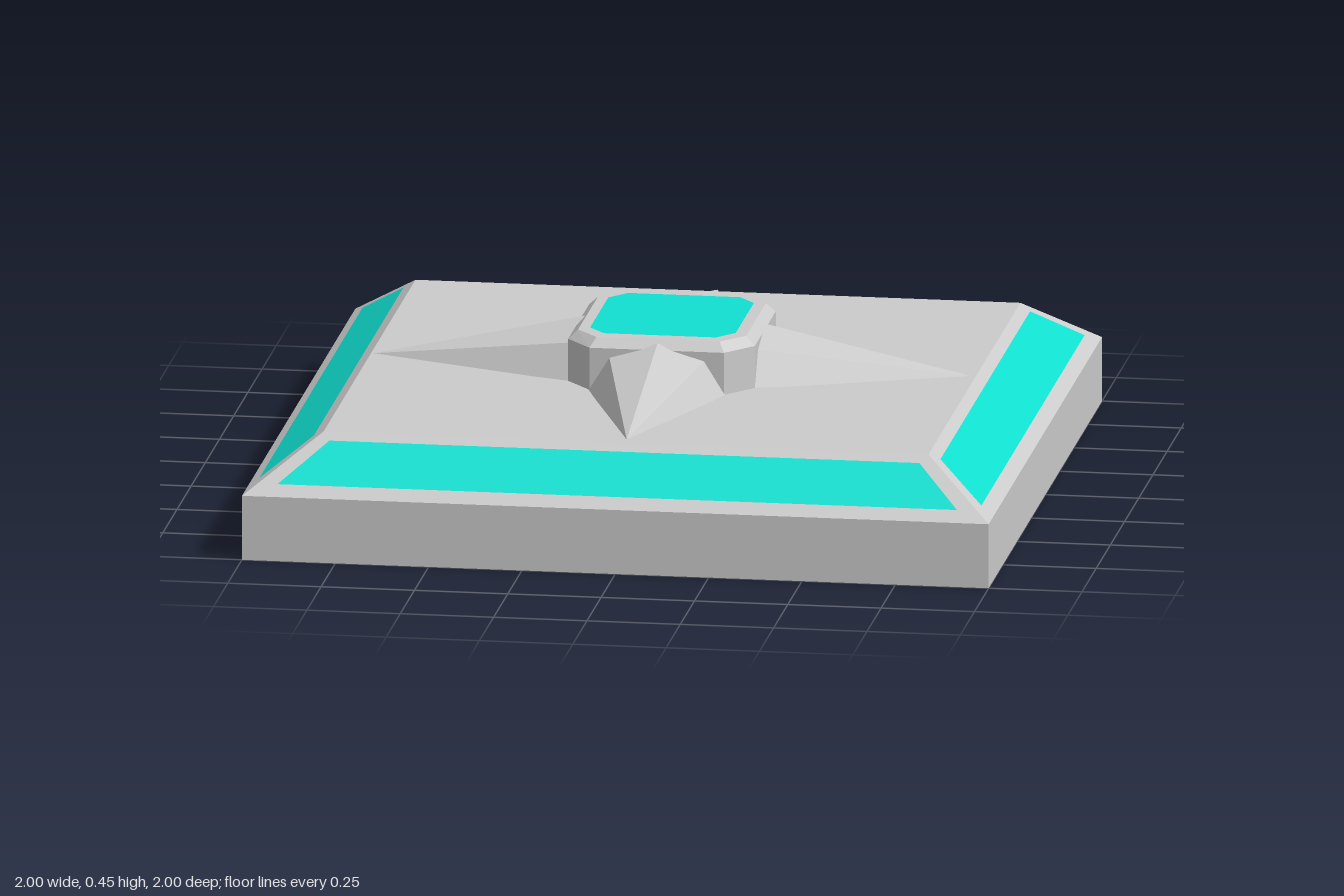
import * as THREE from 'three';
import { ConvexGeometry } from 'three/addons/geometries/ConvexGeometry.js';

const grey = new THREE.MeshStandardMaterial({ color: 0xcccccc, flatShading: true });
const teal = new THREE.MeshStandardMaterial({ color: 0x10e0d0, flatShading: true });

// Rectangle with cut corners, counter-clockwise seen from above
const octagon = (w, d, cx, cz) => [
  [w, d - cz], [w, cz - d], [w - cx, -d], [cx - w, -d],
  [-w, cz - d], [-w, d - cz], [cx - w, d], [w - cx, d],
];
const square = (h) => [[h, h], [h, -h], [-h, -h], [-h, h]];

// Faceted solid from horizontal outlines stacked as [y, outline]
function stack(...levels) {
  return new ConvexGeometry(levels.flatMap(([y, ring]) => ring.map(([x, z]) => new THREE.Vector3(x, y, z))));
}

// Flat polygon whose corners run counter-clockwise seen from outside
function polygon(points) {
  const geo = new THREE.BufferGeometry();
  geo.setAttribute('position', new THREE.Float32BufferAttribute(points.flat(), 3));
  const index = [];
  for (let i = 1; i < points.length - 1; i++) index.push(0, i, i + 1);
  geo.setIndex(index);
  geo.computeVertexNormals();
  return geo;
}

// Four-pointed star arm: five-sided cross-section narrowing to a tip along +z
function spike(start) {
  const section = [[0.195, 0.308], [0.135, 0.405], [0, 0.445], [-0.135, 0.405], [-0.195, 0.308]];
  const points = section.map(([x, y]) => new THREE.Vector3(x, y, start));
  points.push(new THREE.Vector3(0, 0.317, 0.8));
  return new ConvexGeometry(points);
}

export function createModel() {
  const model = new THREE.Group();
  const add = (name, geometry, material, turn = 0) => {
    const mesh = new THREE.Mesh(geometry, material);
    mesh.name = name;
    mesh.rotation.y = turn;
    model.add(mesh);
  };

  // Square slab with bevelled top
  add('base', stack([0, square(1)], [0.175, square(1)], [0.31, square(0.81)]), grey);

  // Coloured panel on each bevel, and a star arm on each side
  const panel = polygon([
    [-0.91, 0.202, 0.967], [0.91, 0.202, 0.967],
    [0.79, 0.293, 0.839], [-0.79, 0.293, 0.839],
  ]);
  ['front', 'left', 'back', 'right'].forEach((side, i) => {
    const turn = i * Math.PI / 2;
    add(side + 'Panel', panel, teal, turn);
    add(side + 'Spike', spike(i % 2 ? 0.22 : 0.235), grey, turn);
  });

  // Central hub with cut corners, bevelled rim and coloured top
  const body = octagon(0.25, 0.27, 0.07, 0.085);
  add('hub', stack([0.305, body], [0.425, body], [0.449, octagon(0.225, 0.245, 0.06, 0.07)]), grey);
  add('hubInlay', polygon(octagon(0.195, 0.215, 0.045, 0.055).map(([x, z]) => [x, 0.452, z])), teal);

  return model;
}
